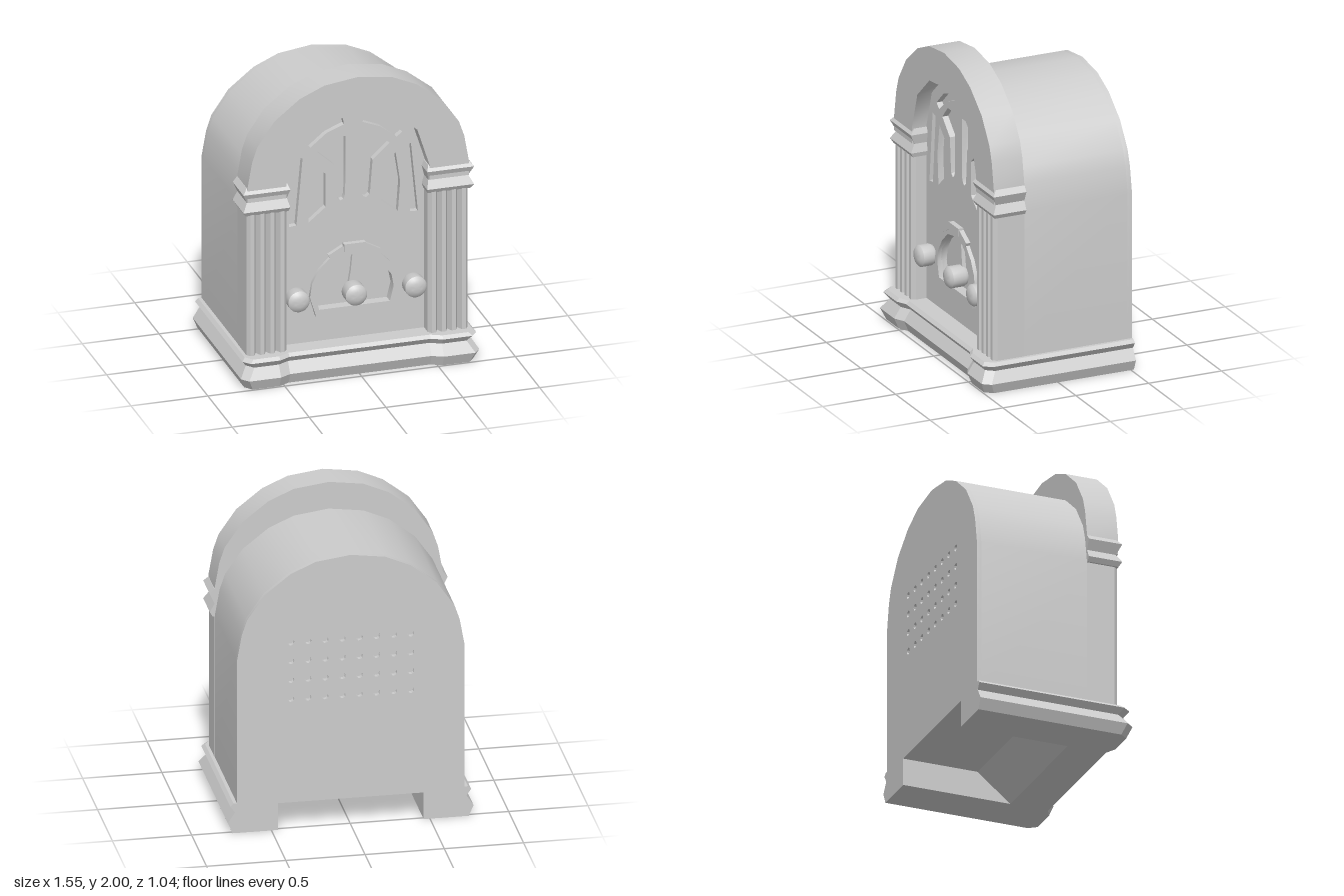
import * as THREE from 'three';
import { toCreasedNormals } from 'three/addons/utils/BufferGeometryUtils.js';

const grey = new THREE.MeshStandardMaterial({ color: 0xcccccc });
const flat = new THREE.MeshStandardMaterial({ color: 0xcccccc, flatShading: true });

const vec = (pts) => pts.map(([x, y]) => new THREE.Vector2(x, y));
const flip = (pts) => pts.map(([x, y]) => [-x, y]);
// Right half of an outline (bottom to top centre) completed by mirroring
const mirror = (half) => [...half, ...flip(half).reverse().filter(([x]) => x !== 0)];

function add(group, name, geometry, material = grey) {
  const mesh = new THREE.Mesh(geometry, material);
  mesh.name = name;
  group.add(mesh);
  return mesh;
}

// Flat plate between z0 and z1 with optional holes
function slab(outline, z0, z1, holes = []) {
  const shape = new THREE.Shape(vec(outline));
  holes.forEach((h) => shape.holes.push(new THREE.Path(vec(h))));
  const geo = new THREE.ExtrudeGeometry(shape, { depth: z1 - z0, bevelEnabled: false });
  return toCreasedNormals(geo.translate(0, 0, z0), 0.6);
}

// Stacked horizontal cross-sections; plan(level) gives the [x, z] corners
function loft(levels, plan) {
  const rings = levels.map((l) => plan(l));
  const n = rings[0].length, pos = [];
  const put = (k, i) => pos.push(rings[k][i % n][0], levels[k][0], rings[k][i % n][1]);
  for (let k = 0; k < rings.length - 1; k++) {
    for (let i = 0; i < n; i++) {
      put(k, i); put(k + 1, i + 1); put(k, i + 1);
      put(k, i); put(k + 1, i); put(k + 1, i + 1);
    }
  }
  const top = rings.length - 1;
  for (const [a, b, c] of THREE.ShapeUtils.triangulateShape(vec(rings[0]), [])) {
    put(0, a); put(0, b); put(0, c);
  }
  for (const [a, b, c] of THREE.ShapeUtils.triangulateShape(vec(rings[top]), [])) {
    put(top, a); put(top, c); put(top, b);
  }
  const geo = new THREE.BufferGeometry();
  geo.setAttribute('position', new THREE.Float32BufferAttribute(pos, 3));
  geo.computeVertexNormals();
  return geo;
}

const ARCH = [[0.72, 1.34], [0.69, 1.51], [0.656, 1.61], [0.545, 1.77], [0.38, 1.9], [0.22, 1.97], [0, 2]];
const INNER = [[0.465, 1.34], [0.385, 1.59], [0.21, 1.745], [0, 1.77]];

export function createModel() {
  const model = new THREE.Group();
  model.name = 'tabletopRadio';

  // Moulded base, with a sloped notch underneath that opens to the back
  const baseLevels = [[0, 0.015], [0.07, 0.045], [0.14, 0], [0.18, 0.03], [0.2, 0.01]];
  add(model, 'base', loft(baseLevels, ([y, o]) => {
    const half = [[0.73 + o, -0.52], [0.73 + o, 0.425 + o], [0.69 + o, 0.475 + o], [0.53, 0.475 + o], [0.46, 0.44 + o]];
    const zf = 0.2 - 1.22 * y;
    return [...mirror(half), [-0.46, -0.52], [-0.46, zf], [0.46, zf], [0.46, -0.52]];
  }), flat);

  // Cabinet and perforated back plate
  const cabinet = mirror([[0.718, 0.18], ...ARCH.map(([x, y]) => [x * 0.997, y - 0.18])]);
  add(model, 'cabinet', slab(cabinet, -0.49, 0.29));
  const vents = [];
  for (let r = 0; r < 4; r++) {
    for (let c = 0; c < 8; c++) {
      vents.push(Array.from({ length: 10 }, (_, i) => {
        const a = (i / 10) * Math.PI * 2;
        return [(c - 3.5) * 0.108 + 0.022 * Math.cos(a), 1.07 + (r - 1.5) * 0.127 + 0.022 * Math.sin(a)];
      }));
    }
  }
  add(model, 'backPlate', slab(cabinet, -0.52, -0.49, vents));

  // Front arch
  const ring = [...mirror([[0.72, 1.24], ...ARCH]), ...mirror([[0.465, 1.24], ...INNER]).reverse()];
  add(model, 'frontArch', slab(ring, 0.22, 0.43));

  // Front panel with cut-out grille and dial window
  const slots = [
    [[-0.375, 1.46], [-0.33, 1.45], [-0.37, 1], [-0.42, 0.995]],
    [[-0.07, 1.69], [-0.06, 1.645], [-0.175, 1.6], [-0.28, 1.515], [-0.32, 1.545], [-0.215, 1.64]],
    [[-0.235, 1.48], [-0.155, 1.565], [-0.05, 1.565], [-0.053, 1.17], [-0.065, 1.14], [-0.085, 1.132],
      [-0.105, 1.15], [-0.11, 1.18], [-0.125, 1.38]],
    [[-0.275, 1.41], [-0.18, 1.325], [-0.18, 1.1], [-0.29, 1.01], [-0.305, 1.21]],
  ];
  const windowOutline = mirror([[0.23, 0.42], [0.255, 0.52], [0.24, 0.6], [0.185, 0.68], [0.105, 0.75], [0, 0.77]]);
  add(model, 'frontPanel', slab(mirror([[0.468, 0.18], ...INNER]), 0.29, 0.33,
    [...slots, ...slots.map(flip), windowOutline]));

  // Dial frame, its crest and the pointer
  const frame = mirror([[0.25, 0.375], [0.29, 0.51], [0.275, 0.605], [0.23, 0.69], [0.155, 0.765], [0.075, 0.795], [0, 0.81]]);
  add(model, 'dialFrame', slab(frame, 0.32, 0.355, [windowOutline]));
  add(model, 'dialCrest', new THREE.BoxGeometry(0.14, 0.05, 0.045)).position.set(0, 0.82, 0.3425);
  for (const s of [-1, 1]) {
    const tab = add(model, 'dialCrestSide', new THREE.BoxGeometry(0.11, 0.035, 0.045));
    tab.position.set(s * 0.115, 0.793, 0.3375);
    tab.rotation.z = -s * 0.5;
  }
  add(model, 'dialPointer', slab([[-0.03, 0.53], [0.03, 0.53], [0.012, 0.64], [0, 0.765], [-0.012, 0.64]], 0.28, 0.315));

  // Domed knobs
  const knobProfile = (len) => vec([[0.06, 0], [0.07, 0.02], [0.07, len - 0.025], [0.055, len - 0.01], [0.03, len - 0.002], [0, len]]);
  for (const [name, x, y, z, len] of [['tuningKnob', 0, 0.505, 0.29, 0.13],
    ['leftKnob', 0.38, 0.52, 0.33, 0.113], ['rightKnob', -0.38, 0.52, 0.33, 0.113]]) {
    const geo = toCreasedNormals(new THREE.LatheGeometry(knobProfile(len), 20), 0.6);
    const knob = add(model, name, geo);
    knob.rotation.x = Math.PI / 2;
    knob.position.set(x, y, z);
  }

  // Fluted pillars and their moulded capitals
  const ribs = [];
  for (let i = 3; i >= 0; i--) {
    const x = 0.46 + i * 0.065;
    ribs.push([x + 0.065, i === 3 ? 0.405 : 0.39], [x + 0.046, 0.43], [x + 0.019, 0.43], [x, i === 0 ? 0.405 : 0.39]);
  }
  const pillarPlan = [[0.72, 0.22], ...ribs.filter((p, i) => i % 4 !== 3 || i === 15), [0.46, 0.22]];
  const capitalLevels = [[1.15, 0.012], [1.18, 0.03], [1.235, 0], [1.3, 0.03], [1.335, 0.002]];
  for (const s of [1, -1]) {
    const side = (pts) => (s > 0 ? pts : flip(pts).reverse());
    add(model, s > 0 ? 'leftPillar' : 'rightPillar', loft([[0.18], [1.16]], () => side(pillarPlan)), flat);
    add(model, s > 0 ? 'leftCapital' : 'rightCapital', loft(capitalLevels, ([, o]) => side([
      [0.72 + o, 0.22], [0.72 + o, 0.415 + o], [0.46 - o / 2, 0.415 + o], [0.46 - o / 2, 0.22],
    ])), flat);
  }

  return model;
}
